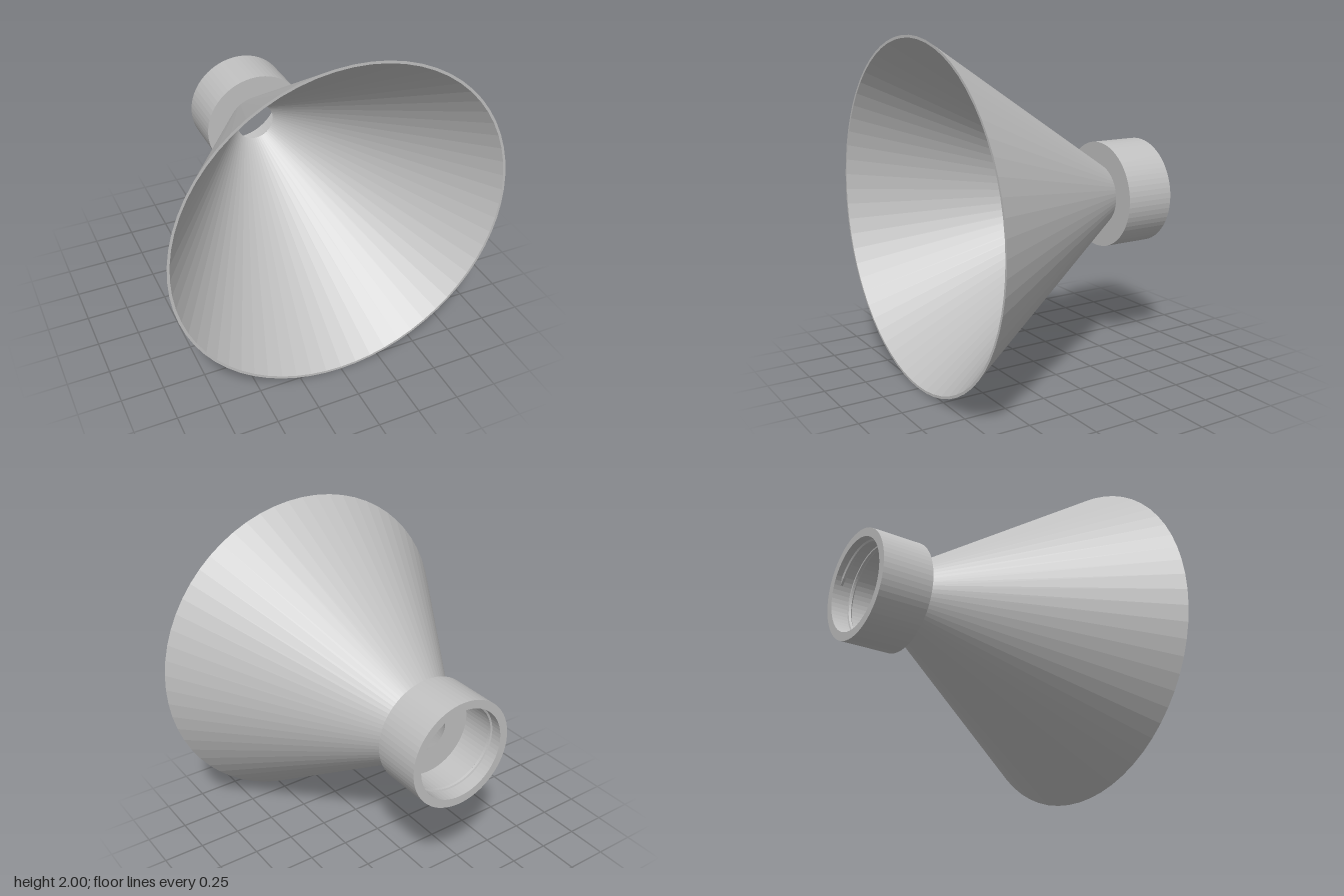
import * as THREE from 'three';

const SEGMENTS = 64;

// Revolves an [radius, z] profile about the z axis
function revolve(name, profile, material) {
  const points = profile.map(([r, z]) => new THREE.Vector2(r, z));
  const geometry = new THREE.LatheGeometry(points, SEGMENTS).rotateX(Math.PI / 2);
  const mesh = new THREE.Mesh(geometry, material);
  mesh.name = name;
  return mesh;
}

// Helical rib whose ends run out into the collar wall
class ThreadCurve extends THREE.Curve {
  getPoint(t, target = new THREE.Vector3()) {
    const angle = 0.3 + t * Math.PI * 2 * 1.3;
    const runOut = Math.max(0, 1 - Math.min(t, 1 - t) / 0.03);
    const r = 0.276 + 0.02 * runOut;
    return target.set(Math.cos(angle) * r, Math.sin(angle) * r, -0.735 + 0.1 * t);
  }
}

export function createModel() {
  const model = new THREE.Group();
  model.name = 'funnel';
  const grey = new THREE.MeshStandardMaterial({ color: 0xc0c0c0, flatShading: true });
  grey.name = 'light grey';

  const body = new THREE.Group();
  body.name = 'body';
  body.position.y = 1;
  model.add(body);

  // Thin-walled cone: outside, front lip, inside down to the hole
  body.add(revolve('cone', [
    [0.19, -0.47], [1, 0.78], [0.985, 0.78], [0.12, -0.49],
  ], grey));

  // Hollow collar: floor, bore, rear rim, outside, front shoulder
  body.add(revolve('collar', [
    [0.12, -0.49], [0.275, -0.49], [0.275, -0.78],
    [0.325, -0.78], [0.325, -0.47], [0.19, -0.47],
  ], grey));

  // Screw thread inside the collar
  const thread = new THREE.Mesh(new THREE.TubeGeometry(new ThreadCurve(), 120, 0.014, 6), grey);
  thread.name = 'screwThread';
  body.add(thread);

  return model;
}
